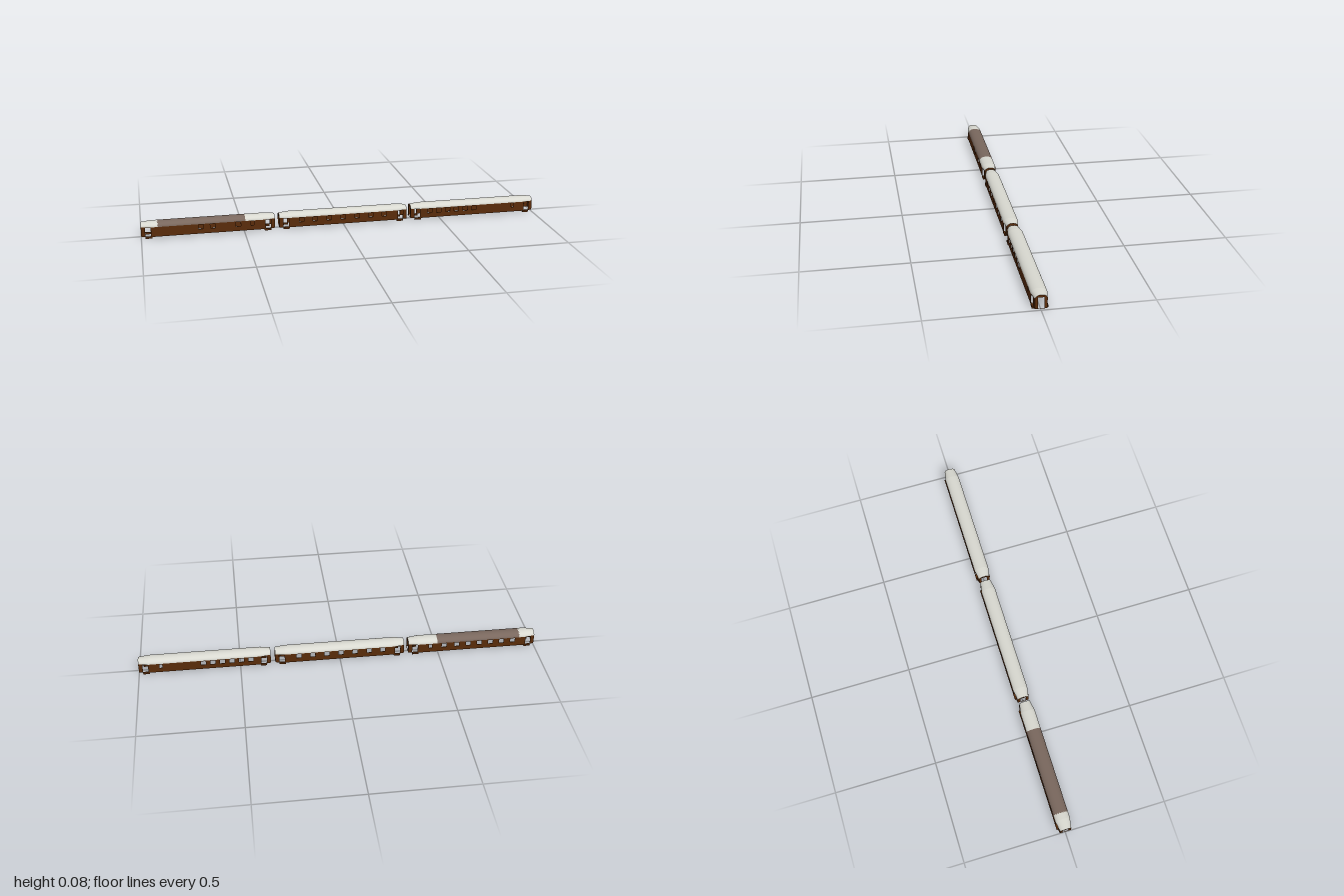
import * as THREE from 'three';

const bodyPaint = new THREE.MeshStandardMaterial({ color: 0x5a2c0a, side: THREE.DoubleSide });
const roofPaint = new THREE.MeshStandardMaterial({ color: 0xd9d9d1, side: THREE.DoubleSide });
const weatheredRoof = new THREE.MeshStandardMaterial({ color: 0x7a685e, side: THREE.DoubleSide });
bodyPaint.name = 'bodyBrown';
roofPaint.name = 'roofGrey';
weatheredRoof.name = 'roofTaupe';

const LENGTH = 0.652, HALF = LENGTH / 2, TAPER = 0.05;
const SILL = 0.008, EAVE = 0.057, WIDE = 0.036, NARROW = 0.027, THICK = 0.002;
const DOOR_IN = 0.02, DOOR_OUT = 0.047;

function add(group, name, geometry, material) {
  const mesh = new THREE.Mesh(geometry, material);
  mesh.name = name;
  group.add(mesh);
  return mesh;
}

function rectPath(target, x0, y0, x1, y1) {
  target.moveTo(x0, y0);
  target.lineTo(x1, y0);
  target.lineTo(x1, y1);
  target.lineTo(x0, y1);
  target.closePath();
  return target;
}

// half width of the carriage at x: the ends draw in
function halfWidth(x) {
  const t = Math.max(0, (Math.abs(x) - (HALF - TAPER)) / TAPER);
  return WIDE + (NARROW - WIDE) * t;
}

// upright side panel with openings, following the plan of the carriage
function sidePanel(x0, x1, side, openings) {
  const shape = rectPath(new THREE.Shape(), x0, SILL, x1, EAVE);
  for (const o of openings) shape.holes.push(rectPath(new THREE.Path(), ...o));
  const geo = new THREE.ExtrudeGeometry(shape, { depth: THICK, bevelEnabled: false });
  const p = geo.attributes.position;
  for (let i = 0; i < p.count; i++) {
    const inset = side > 0 ? THICK - p.getZ(i) : p.getZ(i);
    p.setZ(i, side * (halfWidth(p.getX(i)) - inset));
  }
  geo.computeVertexNormals();
  return geo;
}

// roof strip between two stations; jag staggers an edge from row to row
function roofStrip(x0, x1, jag0 = 0, jag1 = 0) {
  const rows = 20, pos = [], index = [];
  for (const [x, jag] of [[x0, jag0], [x1, jag1]]) {
    const w = halfWidth(x);
    const h = 0.022 - (WIDE - w) * 0.5;
    for (let i = 0; i <= rows; i++) {
      const a = (i / rows) * Math.PI;
      pos.push(x + (i % 2) * jag, EAVE + h * Math.sin(a), w * Math.cos(a));
    }
  }
  for (let i = 0; i < rows; i++) {
    const a = i, b = i + 1, c = i + rows + 1, d = c + 1;
    index.push(a, c, b, b, c, d);
  }
  const geo = new THREE.BufferGeometry();
  geo.setAttribute('position', new THREE.Float32BufferAttribute(pos, 3));
  geo.setIndex(index);
  geo.computeVertexNormals();
  return geo;
}

// arched end wall with the gangway opening
function endWall() {
  const s = new THREE.Shape();
  s.moveTo(-NARROW, SILL);
  s.lineTo(NARROW, SILL);
  s.lineTo(NARROW, EAVE);
  s.absellipse(0, EAVE, NARROW, 0.0172, 0, Math.PI, false);
  s.lineTo(-NARROW, SILL);
  s.holes.push(rectPath(new THREE.Path(), -0.014, SILL + 0.001, 0.014, 0.062));
  const geo = new THREE.ExtrudeGeometry(s, { depth: THICK, bevelEnabled: false, curveSegments: 16 });
  return geo.rotateY(Math.PI / 2);
}

// windows are [centre, width] in carriage coordinates
function carriage(name, centre, frontWindows, backWindows, patch) {
  const car = new THREE.Group();
  car.name = name;
  car.position.x = centre;
  const inner = HALF - TAPER;

  for (const side of [1, -1]) {
    const label = side > 0 ? 'front' : 'back';
    const windows = (side > 0 ? frontWindows : backWindows)
      .map(([x, w]) => [x - w / 2, 0.032, x + w / 2, 0.054]);
    add(car, label + 'SideWall', sidePanel(-inner, inner, side, windows), bodyPaint);

    for (const end of [1, -1]) {
      // tapered vestibule panel with doorway
      const xs = [end * (HALF - DOOR_IN), end * (HALF - DOOR_OUT)].sort((a, b) => a - b);
      const edge = [end * inner, end * HALF].sort((a, b) => a - b);
      add(car, label + 'DoorPanel',
        sidePanel(edge[0], edge[1], side, [[xs[0], SILL + 0.001, xs[1], 0.055]]), bodyPaint);

      // step under the doorway
      const step = add(car, label + 'DoorStep', new THREE.BoxGeometry(0.032, 0.009, 0.009), bodyPaint);
      step.position.set(end * (HALF - 0.036), 0.0045, side * 0.0312);
    }
  }

  for (const end of [1, -1]) {
    const wall = add(car, 'endWall', endWall(), bodyPaint);
    wall.position.x = end > 0 ? HALF - THICK : -HALF;
  }

  // roof: drawn-in ends, then the long middle
  add(car, 'roofEnd', roofStrip(-HALF, -inner), roofPaint);
  add(car, 'roofEnd', roofStrip(inner, HALF), roofPaint);
  if (patch) {
    const [a, b] = patch, jag = 0.005;
    add(car, 'roofMiddle', roofStrip(-inner, a, 0, jag), roofPaint);
    add(car, 'weatheredRoof', roofStrip(a, b, jag, 0), weatheredRoof);
    add(car, 'roofMiddle', roofStrip(b, inner), roofPaint);
  } else {
    add(car, 'roofMiddle', roofStrip(-inner, inner), roofPaint);
  }
  return car;
}

export function createModel() {
  const train = new THREE.Group();
  train.name = 'passengerTrain';
  const offset = 1 - HALF;
  const row = (xs, shift, w = 0.024) => xs.map((x) => [x - shift, w]);

  // kitchen and dining carriage
  const galley = [...row([-0.712, -0.655, -0.53], -offset), ...row([-0.46], -offset, 0.016)];
  const dining = [...galley, ...row([-0.885, -0.827, -0.77, -0.595], -offset)];
  train.add(carriage('diningCarriage', -offset, galley, dining, [-0.922 + offset, -0.495 + offset]));

  // middle carriage with evenly spaced windows
  const even = row([-0.215, -0.147, -0.075, -0.004, 0.067, 0.138, 0.208], 0);
  train.add(carriage('middleCarriage', 0, even, even));

  // luggage carriage
  const seats = [...row([0.447, 0.494, 0.541, 0.588, 0.635, 0.682], offset), ...row([0.89], offset, 0.014)];
  train.add(carriage('luggageCarriage', offset, seats, seats));
  return train;
}
